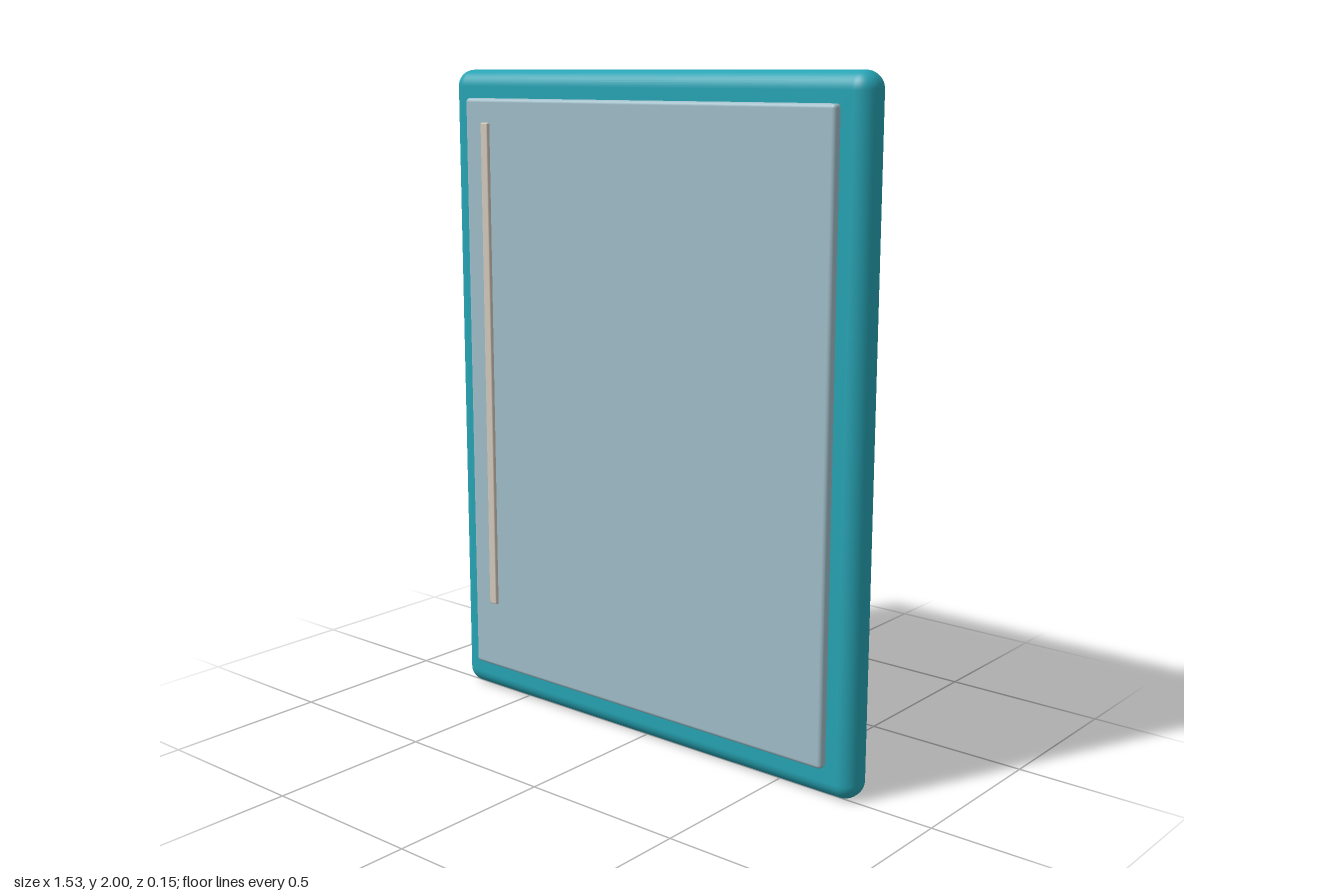
import * as THREE from 'three';
import { RoundedBoxGeometry } from 'three/addons/geometries/RoundedBoxGeometry.js';

function material(name, color) {
  const m = new THREE.MeshStandardMaterial({ color });
  m.name = name;
  return m;
}

// Rounded slab given by its lower and upper corners
function slab(name, min, max, radius, segments, mat) {
  const size = max.map((v, i) => v - min[i]);
  const mesh = new THREE.Mesh(new RoundedBoxGeometry(...size, segments, radius), mat);
  mesh.position.set(...max.map((v, i) => (v + min[i]) / 2));
  mesh.name = name;
  return mesh;
}

export function createModel() {
  const teal = material('teal', 0x26a3b3);
  const glass = material('pale blue grey', 0xa0bdc8);
  const trim = material('warm grey', 0xd3c8bc);

  const model = new THREE.Group();
  model.name = 'framedPanel';
  model.add(
    // thick body with soft edges
    slab('body', [-0.763, 0, -0.074], [0.763, 2, 0.036], 0.05, 6, teal),
    // raised front panel
    slab('frontPanel', [-0.68, 0.095, 0.03], [0.68, 1.915, 0.063], 0.012, 4, glass),
    // slim vertical strip near the right edge
    slab('verticalStrip', [-0.604, 0.312, 0.058], [-0.575, 1.842, 0.074], 0.004, 2, trim)
  );
  return model;
}
